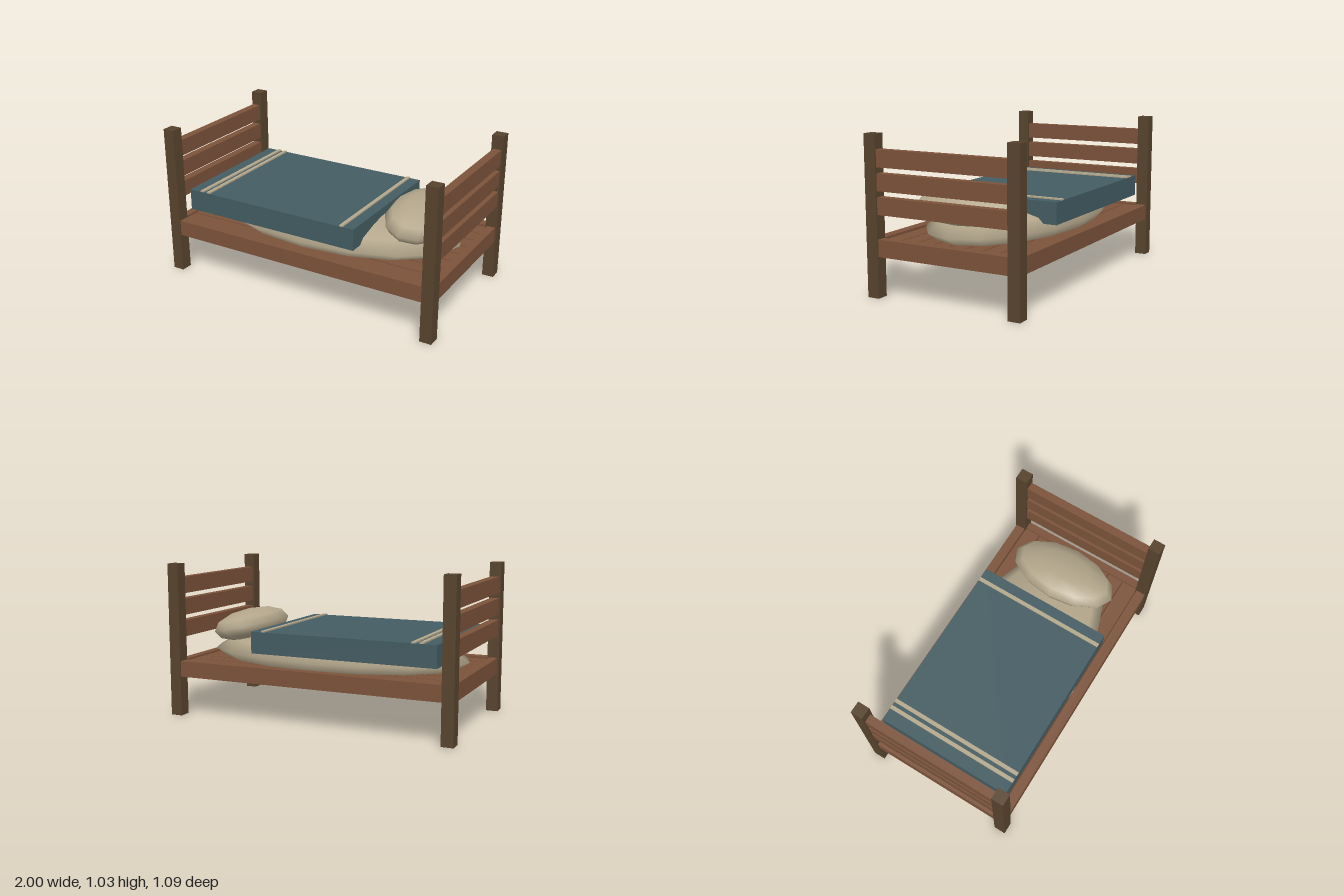
import * as THREE from 'three';

const mat = (name, color) => {
  const m = new THREE.MeshStandardMaterial({ color });
  m.name = name;
  return m;
};

export function createModel() {
  const bed = new THREE.Group();
  bed.name = 'bed';
  const darkWood = mat('dark wood', 0x57432d);
  const wood = mat('brown wood', 0x7b523a);
  const blue = mat('blue blanket', 0x435c62);
  const linen = mat('linen', 0xb3a68b);

  // Box given by its minimum and maximum on each axis
  const box = (name, material, [x0, x1], [y0, y1], [z0, z1]) => {
    const mesh = new THREE.Mesh(new THREE.BoxGeometry(x1 - x0, y1 - y0, z1 - z0), material);
    mesh.position.set((x0 + x1) / 2, (y0 + y1) / 2, (z0 + z1) / 2);
    mesh.name = name;
    bed.add(mesh);
  };
  const span = (center, size) => [center - size / 2, center + size / 2];

  // Corner posts
  for (const sx of [-1, 1])
    for (const sz of [-1, 1])
      box('post', darkWood, span(sx * 0.96, 0.08), [0, 1.03], span(sz * 0.504, 0.082));

  // Horizontal boards of headboard and footboard, lowest one joins the frame
  for (const sx of [-1, 1])
    for (const y of [0.32, 0.585, 0.733, 0.88])
      box('endBoard', wood, span(sx * 0.962, 0.056), span(y, 0.11), [-0.464, 0.464]);

  // Side rails
  for (const sz of [-1, 1])
    box('sideRail', wood, [-0.92, 0.92], [0.268, 0.375], span(sz * 0.505, 0.066));

  // Base planks running lengthwise
  const pitch = 0.117;
  for (let i = 0; i < 8; i++)
    box('basePlank', wood, [-0.934, 0.934], [0.274, 0.362], span((i - 3.5) * pitch, pitch - 0.008));

  // Soft rounded shapes
  const cushion = (name, segments, radii, position, tilt) => {
    const geometry = new THREE.SphereGeometry(1, segments, 6);
    geometry.scale(...radii);
    const mesh = new THREE.Mesh(geometry, linen);
    mesh.position.set(...position);
    mesh.rotation.z = tilt;
    mesh.name = name;
    bed.add(mesh);
  };
  cushion('mattress', 16, [0.93, 0.147, 0.475], [0, 0.417, 0], 0);
  cushion('pillow', 12, [0.22, 0.11, 0.382], [0.67, 0.578, 0], -0.2);

  // Blanket with raised stripes
  box('blanket', blue, [-0.865, 0.41], [0.455, 0.6], [-0.473, 0.473]);
  for (const x of [-0.765, -0.713, 0.322])
    box('blanketStripe', linen, span(x, 0.026), [0.6, 0.609], [-0.473, 0.473]);

  return bed;
}
